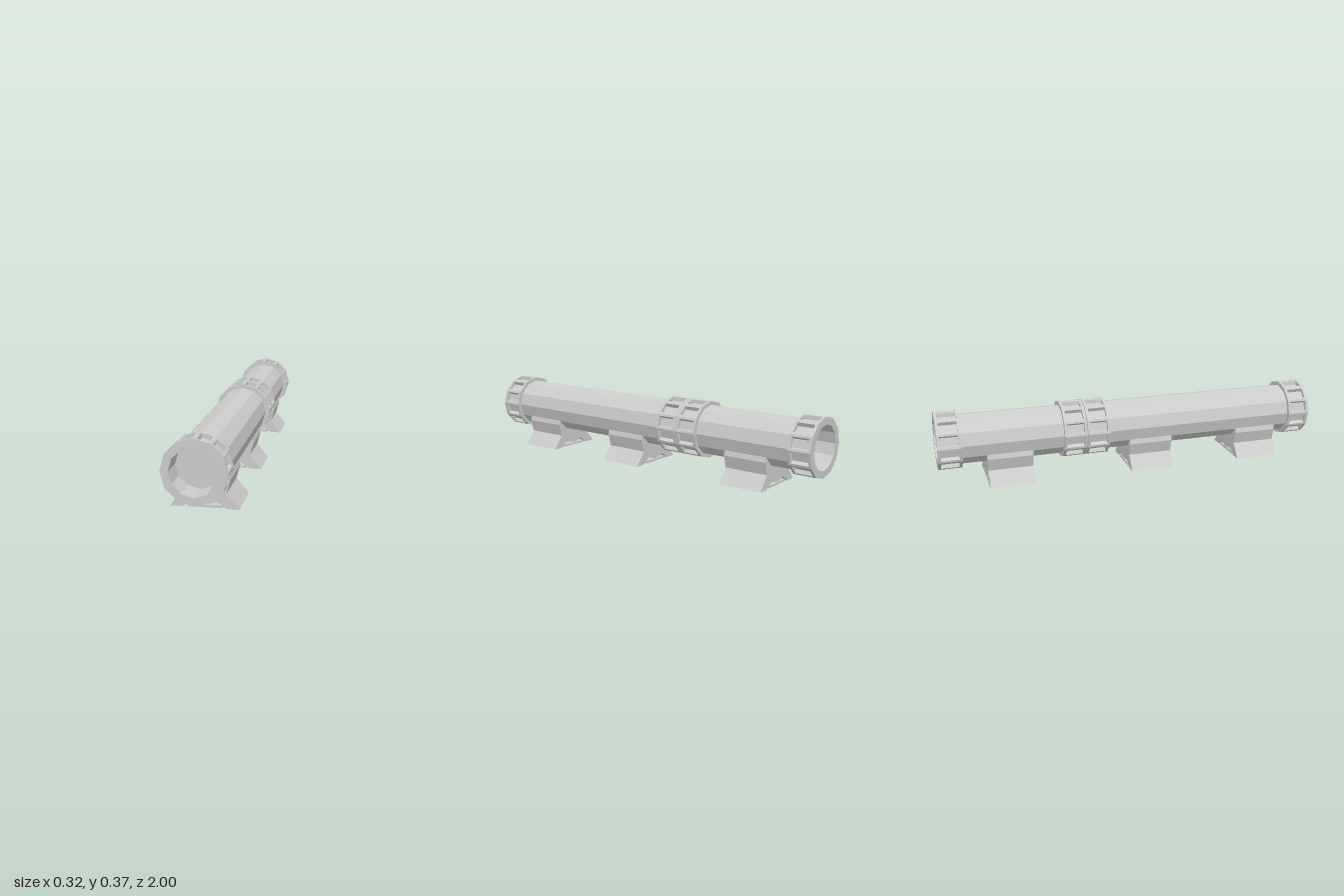
import * as THREE from 'three';

const SIDES = 12, AXIS_Y = 0.221;
const PIPE_R = 0.127, BORE_R = 0.11, COLLAR_R = 0.147, COLLAR_W = 0.118, FLANGE = 0.014;
const mat = new THREE.MeshStandardMaterial({ color: 0xcccccc, flatShading: true });

const corner = (r, i) => {
  const a = (i / SIDES) * Math.PI * 2;
  return new THREE.Vector2(Math.cos(a) * r, Math.sin(a) * r);
};
const polygon = (r) => Array.from({ length: SIDES }, (_, i) => corner(r, i));

function add(parent, name, geo) {
  const mesh = new THREE.Mesh(geo, mat);
  mesh.name = name;
  parent.add(mesh);
  return mesh;
}

// Extrudes a shape along z, centred on z = 0
function slab(shape, depth) {
  return new THREE.ExtrudeGeometry(shape, { depth, bevelEnabled: false }).translate(0, 0, -depth / 2);
}

function ring(outer, inner, depth) {
  const shape = new THREE.Shape(polygon(outer));
  shape.holes.push(new THREE.Path(polygon(inner)));
  return slab(shape, depth);
}

// Two flanges joined by a rib at every corner, leaving a pocket on each side
function collar(z) {
  const group = new THREE.Group();
  group.name = 'collar';
  group.position.set(0, AXIS_Y, z);
  add(group, 'collarBody', ring(PIPE_R, BORE_R, COLLAR_W - 2 * FLANGE));
  for (const s of [-1, 1]) {
    add(group, 'collarFlange', ring(COLLAR_R, BORE_R, FLANGE)).position.z = s * (COLLAR_W - FLANGE) / 2;
  }
  const tip = corner(COLLAR_R, 0);
  const side = (i, r, t) => corner(r, 0).lerp(corner(r, i), t);
  const rib = slab(new THREE.Shape([
    side(-1, PIPE_R - 0.004, 0.2), side(-1, COLLAR_R, 0.14), tip,
    side(1, COLLAR_R, 0.14), side(1, PIPE_R - 0.004, 0.2),
  ]), COLLAR_W - 2 * FLANGE);
  for (let i = 0; i < SIDES; i++) {
    add(group, 'collarRib', rib).rotation.z = (i / SIDES) * Math.PI * 2;
  }
  return group;
}

// Splayed saddle under the pipe, with a flat pad between its feet
function support(z) {
  const group = new THREE.Group();
  group.name = 'support';
  group.position.z = z;
  const half = [[0.057, 0.03], [0.1, 0], [0.158, 0], [0.1, 0.071], [0.118, 0.135], [0.112, 0.158], [0.08, 0.17]];
  const points = [[0, 0.015], ...half, ...half.map(([x, y]) => [-x, y]).reverse()];
  add(group, 'saddle', slab(new THREE.Shape(points.map(([x, y]) => new THREE.Vector2(x, y))), 0.23));
  add(group, 'pad', new THREE.BoxGeometry(0.156, 0.011, 0.23)).position.y = 0.0075;
  return group;
}

export function createModel() {
  const model = new THREE.Group();
  model.name = 'pipe section';

  // Closed pipe, its ends set back inside the end collars
  const endZ = 1 - COLLAR_W;
  const pipe = new THREE.CylinderGeometry(PIPE_R, PIPE_R, endZ * 2, SIDES).rotateX(Math.PI / 2);
  add(model, 'pipe', pipe).position.y = AXIS_Y;

  // End collars and the coupled pair along the pipe
  for (const z of [1 - COLLAR_W / 2, -0.191, -0.312, -1 + COLLAR_W / 2]) model.add(collar(z));

  for (const z of [0.695, 0.095, -0.645]) model.add(support(z));
  return model;
}
